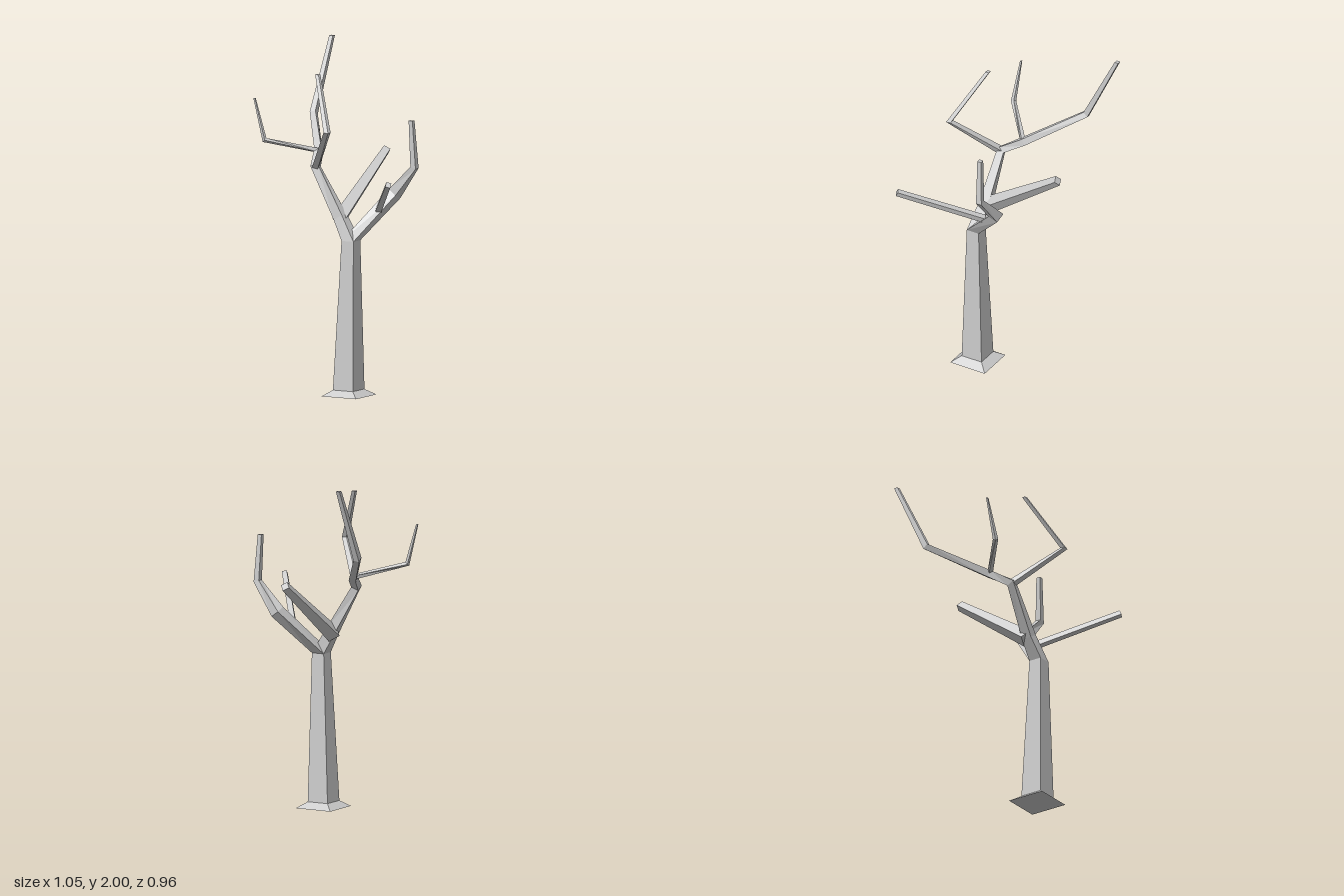
import * as THREE from 'three';

const material = new THREE.MeshStandardMaterial({ color: 0xcccccc, flatShading: true });

// Square-section limb through [x, y, z, width, level]; level sections lie flat, others are mitred.
function limb(name, path, twist = 0) {
  const centres = path.map(p => new THREE.Vector3(p[0], p[1], p[2]));
  const rings = path.map((p, k) => {
    const c = centres[k];
    const t = new THREE.Vector3();
    if (k > 0) t.add(c.clone().sub(centres[k - 1]).normalize());
    if (k < path.length - 1) t.add(centres[k + 1].clone().sub(c).normalize());
    if (p[4]) t.set(0, 1, 0);
    t.normalize();
    const u = new THREE.Vector3(1, 0, 0).addScaledVector(t, -t.x).normalize();
    u.applyAxisAngle(t, twist);
    const v = t.clone().cross(u);
    const h = p[3] / 2;
    return [[-1, -1], [1, -1], [1, 1], [-1, 1]].map(([a, b]) =>
      c.clone().addScaledVector(u, a * h).addScaledVector(v, b * h));
  });
  const points = [];
  const quad = (a, b, c, d) => points.push(a, b, c, a, c, d);
  for (let k = 0; k < rings.length - 1; k++) {
    for (let i = 0; i < 4; i++) {
      const j = (i + 1) % 4;
      quad(rings[k][i], rings[k][j], rings[k + 1][j], rings[k + 1][i]);
    }
  }
  const first = rings[0], last = rings[rings.length - 1];
  quad(first[3], first[2], first[1], first[0]);
  quad(...last);
  const geometry = new THREE.BufferGeometry().setFromPoints(points);
  geometry.computeVertexNormals();
  const mesh = new THREE.Mesh(geometry, material);
  mesh.name = name;
  return mesh;
}

export function createModel() {
  const tree = new THREE.Group();
  tree.name = 'bareTree';
  tree.add(
    // Trunk with flared foot
    limb('trunk', [
      [0.075, 0, 0.178, 0.234, true], [0.075, 0.035, 0.18, 0.134, true], [0.09, 0.91, 0.18, 0.08, true],
    ]),
    // Left main branch and its side shoot
    limb('leftBranch', [
      [0.09, 0.91, 0.18, 0.08, true], [0.25, 1.17, -0.05, 0.062],
      [0.395, 1.335, -0.03, 0.036], [0.38, 1.61, -0.022, 0.025, true],
    ]),
    limb('leftShoot', [[0.205, 1.085, 0.055, 0.034], [0.51, 1.3, 0.465, 0.03]]),
    // Right main branch, continuing up to the highest tip
    limb('rightBranch', [
      [0.09, 0.91, 0.18, 0.08, true], [0.01, 1.04, 0.165, 0.062], [-0.16, 1.325, 0.16, 0.046],
      [-0.21, 1.395, 0.04, 0.042], [-0.42, 1.57, -0.26, 0.036], [-0.42, 2, -0.47, 0.024, true],
    ]),
    // Shoots growing from the right branch
    limb('backShoot', [[0.0, 1.03, 0.16, 0.072], [0.026, 1.38, -0.335, 0.042]], 0.6),
    limb('frontShoot', [
      [-0.16, 1.32, 0.16, 0.036], [0.05, 1.565, 0.385, 0.03], [-0.11, 1.875, 0.22, 0.022, true],
    ]),
    limb('outerShoot', [
      [-0.205, 1.4, 0.04, 0.024], [-0.45, 1.47, 0.252, 0.022], [-0.522, 1.71, 0.244, 0.01, true],
    ]),
  );
  return tree;
}
